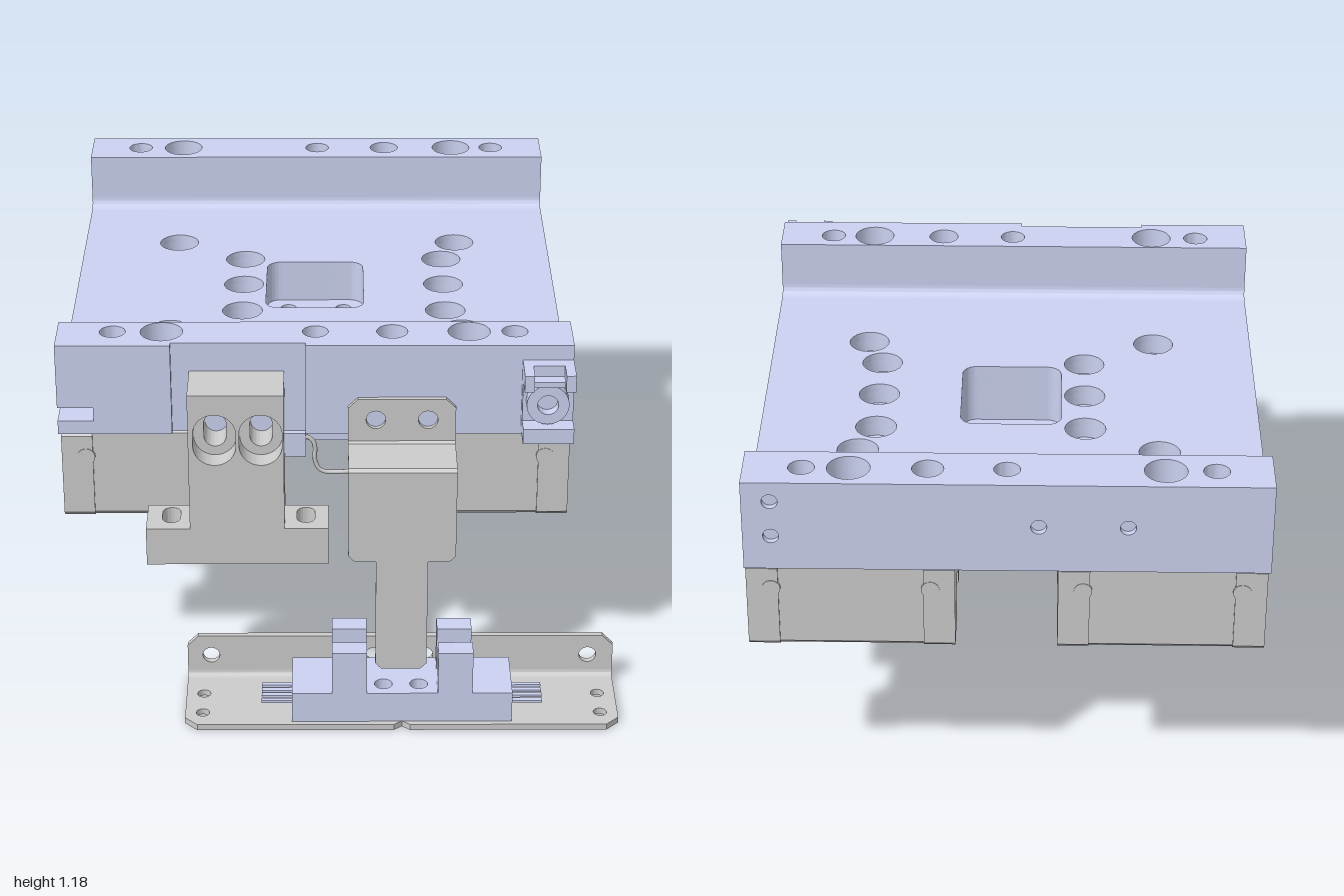
import * as THREE from 'three';
import { toCreasedNormals } from 'three/addons/utils/BufferGeometryUtils.js';

const grey = new THREE.MeshStandardMaterial({ color: 0xcccccc });
const blue = new THREE.MeshStandardMaterial({ color: 0xcbd1f0 });

const poly = (pts) => new THREE.Shape(pts.map(([x, y]) => new THREE.Vector2(x, y)));
const rect = (a, b, c, d) => poly([[a, b], [c, b], [c, d], [a, d]]);
const circle = (x, y, r) => new THREE.Path().absarc(x, y, r, 0, Math.PI * 2, true);

// Rectangle with rounded corners; a full radius makes a slot
function rounded(a, b, c, d, r) {
  const s = new THREE.Shape();
  s.absarc(c - r, b + r, r, -Math.PI / 2, 0);
  s.absarc(c - r, d - r, r, 0, Math.PI / 2);
  s.absarc(a + r, d - r, r, Math.PI / 2, Math.PI);
  s.absarc(a + r, b + r, r, Math.PI, Math.PI * 1.5);
  return s;
}

// Extrudes between lo and hi along an axis.
// Shape coordinates: axis x -> (z, y), axis y -> (x, z), axis z -> (x, y)
function extrude(shape, axis, lo, hi, holes = []) {
  shape.holes.push(...holes);
  const g = new THREE.ExtrudeGeometry(shape, { depth: hi - lo, bevelEnabled: false, curveSegments: 12 });
  if (axis === 'x') g.rotateY(-Math.PI / 2).translate(hi, 0, 0);
  if (axis === 'y') g.rotateX(Math.PI / 2).translate(0, hi, 0);
  if (axis === 'z') g.translate(0, 0, lo);
  return toCreasedNormals(g, 0.6);
}

function box(x0, x1, y0, y1, z0, z1) {
  return new THREE.BoxGeometry(x1 - x0, y1 - y0, z1 - z0)
    .translate((x0 + x1) / 2, (y0 + y1) / 2, (z0 + z1) / 2);
}

function part(name, mat, geos) {
  const group = new THREE.Group();
  group.name = name;
  geos.forEach((g) => {
    const m = new THREE.Mesh(g, mat);
    m.name = name;
    group.add(m);
  });
  return group;
}

const X0 = -0.86, X1 = 0.715, BOTTOM = 0.885, FLOOR = 1, TOP = 1.185;
const boltX = [-0.54, 0.4];
const grid = (xs, zs, r) => xs.flatMap((x) => zs.map((z) => circle(x, z, r)));
const through = (r) => grid([-0.31, 0.35], [-0.36, -0.155, 0.05], r);
const pocket = () => rounded(-0.235, -0.335, 0.085, 0.03, 0.045);

// Channel-shaped carriage plate with the boss below it
function plate() {
  const front = [[X1, 0.7], [-0.1, 0.7], [-0.1, 0.68], [-0.51, 0.68], [-0.51, 0.7]];
  const outline = (z, notch) => poly([[X0, z], [X1, z], ...front,
    ...(notch ? [[-0.75, 0.7], [-0.75, 0.6], [X0, 0.6]] : [[X0, 0.7]])]);
  const floorHoles = (r1, r2) => [...grid(boltX, [-0.5, 0.19], r1), ...grid(boltX, [-0.91, 0.6], 0.03),
    ...through(r2), pocket()];
  const wallHoles = (z) => [...grid(boltX, [z], 0.065), ...grid([-0.69, -0.07, 0.54], [z], 0.04), circle(0.165, z, 0.048)];
  const fillet = (z, dir) => {
    const s = new THREE.Shape();
    s.moveTo(z, FLOOR);
    s.lineTo(z + dir * 0.035, FLOOR);
    s.quadraticCurveTo(z, FLOOR, z, FLOOR + 0.035);
    return extrude(s, 'x', X0, X1);
  };
  const sideHoles = () => [[0.055, 0.745], [-0.15, 0.745], [-0.355, 0.745], [0.055, 0.62]]
    .map(([z, y]) => circle(z, y, 0.028));
  const backHoles = [[0.63, 1.12], [0.63, 1.0], [-0.165, 1.04], [-0.43, 1.04]].map(([x, y]) => circle(x, y, 0.024));
  return part('carriagePlate', blue, [
    extrude(outline(-0.98), 'y', BOTTOM, 0.93, floorHoles(0.03, 0.035)),
    extrude(outline(-0.98, true), 'y', 0.93, 0.975, floorHoles(0.065, 0.065)),
    extrude(outline(-0.98), 'y', 0.975, FLOOR, floorHoles(0.065, 0.065)),
    extrude(rect(X0, -0.98, X1, -0.82), 'y', FLOOR, TOP, wallHoles(-0.91)),
    extrude(poly([[X0, 0.53], [X1, 0.53], ...front, [X0, 0.7]]), 'y', FLOOR, TOP, wallHoles(0.6)),
    extrude(rect(X0, BOTTOM, X1, TOP), 'z', -1, -0.98, backHoles),
    fillet(0.53, -1), fillet(-0.82, 1),
    // boss: drilled core, pocket step and drilled end faces
    extrude(rect(-0.8, -0.43, 0.655, 0.13), 'y', 0.565, 0.8, through(0.035)),
    extrude(rect(-0.8, -0.43, 0.655, 0.13), 'y', 0.8, BOTTOM, [...through(0.035), pocket()]),
    extrude(rect(-0.235, -0.335, 0.085, -0.16), 'y', 0.8, 0.86, grid([-0.165, 0.02], [-0.27], 0.026)),
    extrude(rect(-0.43, 0.565, 0.13, BOTTOM), 'x', X0, -0.8, sideHoles()),
    extrude(rect(-0.43, 0.565, 0.13, BOTTOM), 'x', 0.655, X1, sideHoles()),
  ]);
}

// Linear bearing block with a rail slot, end caps and end screws
function bearing(xc, zc) {
  const slot = [[0.09, 0.58], [0.09, 0.62], [0.115, 0.645], [0.115, 0.685], [0.085, 0.705]];
  const profile = (w, top) => {
    const half = [...slot].reverse().concat([[w - 0.015, 0.58], [w, 0.595], [w, top - 0.015], [w - 0.015, top]]);
    return poly([...half.map(([z, y]) => [zc + z, y]), ...half.reverse().map(([z, y]) => [zc - z, y])]);
  };
  const geos = [extrude(profile(0.259, BOTTOM), 'x', xc - 0.22, xc + 0.22)];
  for (const s of [-1, 1]) {
    const mid = xc + s * 0.267;
    geos.push(extrude(profile(0.265, 0.875), 'x', mid - 0.048, mid + 0.048));
    const dot = new THREE.CylinderGeometry(0.028, 0.028, 0.534, 20).rotateX(Math.PI / 2);
    geos.push(dot.translate(xc + s * 0.24, 0.79, zc));
  }
  // outer end screw with a socket
  const s = Math.sign(xc);
  const pts = [[0, 0.004], [0.02, 0.004], [0.02, 0.02], [0.036, 0.02], [0.05, 0.008], [0.05, -0.005]]
    .reverse().map(([r, y]) => new THREE.Vector2(r, y));
  geos.push(toCreasedNormals(new THREE.LatheGeometry(pts, 20), 0.5).rotateZ(-s * Math.PI / 2)
    .translate(xc + s * 0.315, 0.8, zc));
  return part('bearingBlock', grey, geos);
}

// Block with slotted counterbores and a wide foot
function stopBlock() {
  const slots = (w, h) => [-0.375, -0.235].map((x) => rounded(x - w, 0.94 - h, x + w, 0.94 + h, w));
  const foot = [-0.515, -0.1].map((x) => rounded(x - 0.028, 0.715, x + 0.028, 0.81, 0.028));
  return part('stopBlock', grey, [
    extrude(rect(-0.455, 0.635, -0.165, 1.09), 'z', 0.68, 0.78, slots(0.034, 0.055)),
    extrude(rect(-0.455, 0.635, -0.165, 1.09), 'z', 0.78, 0.85, slots(0.065, 0.085)),
    extrude(rect(-0.59, 0.7, -0.03, 0.85), 'y', 0.51, 0.635, foot),
  ]);
}

// Bent sheet flag that reaches down into the sensor
function flagBracket() {
  const tab = poly([[0.03, 0.88], [0.36, 0.88], [0.36, 0.98], [0.33, 1.01], [0.06, 1.01], [0.03, 0.98]]);
  const bend = poly([[0.7, 0.88], [0.7, 0.855], [0.71, 0.845], [0.87, 0.845], [0.875, 0.84], [0.875, 0.8],
    [0.89, 0.8], [0.89, 0.85], [0.88, 0.86], [0.722, 0.86], [0.715, 0.868], [0.715, 0.88]]);
  const flag = poly([[0.03, 0.8], [0.03, 0.56], [0.05, 0.54], [0.115, 0.54], [0.115, 0.175], [0.135, 0.155],
    [0.255, 0.155], [0.275, 0.175], [0.275, 0.54], [0.34, 0.54], [0.36, 0.56], [0.36, 0.8]]);
  return part('flagBracket', grey, [
    extrude(tab, 'z', 0.7, 0.715, [circle(0.115, 0.94, 0.03), circle(0.275, 0.94, 0.03)]),
    extrude(bend, 'x', 0.03, 0.36),
    extrude(flag, 'z', 0.875, 0.89),
  ]);
}

// Small clevis fitting on the front face
function fitting() {
  const ring = new THREE.Shape().absarc(0.635, 1.02, 0.065, 0, Math.PI * 2);
  return part('fitting', blue, [
    box(0.56, X1, 0.9, 1.135, 0.7, 0.74),
    box(0.56, 0.59, 1.08, 1.135, 0.74, 0.81), box(0.685, X1, 1.08, 1.135, 0.74, 0.81),
    box(0.56, X1, 1.08, 1.1, 0.74, 0.78),
    box(0.56, X1, 0.9, 0.95, 0.74, 0.8),
    extrude(ring, 'z', 0.74, 0.775, [circle(0.635, 1.02, 0.032)]),
  ]);
}

// L-shaped base bracket
function baseBracket() {
  const mid = 0.1975, x0 = -0.48, x1 = 0.875;
  const foot = poly([[x0, 0.73], [x1, 0.73], [x1, 0.96], [x1 - 0.04, 1], [mid + 0.025, 1], [mid, 0.98],
    [mid - 0.025, 1], [x0 + 0.04, 1], [x0, 0.96]]);
  const flange = poly([[x0, 0.04], [x1, 0.04], [x1, 0.13], [x1 - 0.035, 0.165], [mid + 0.025, 0.165],
    [mid, 0.14], [mid - 0.025, 0.165], [x0 + 0.035, 0.165], [x0, 0.13]]);
  const bend = new THREE.Shape();
  bend.moveTo(0.73, 0);
  bend.lineTo(0.73, 0.02);
  bend.quadraticCurveTo(0.71, 0.02, 0.71, 0.04);
  bend.lineTo(0.69, 0.04);
  bend.quadraticCurveTo(0.69, 0, 0.73, 0);
  return part('baseBracket', grey, [
    extrude(foot, 'y', 0, 0.02, [...grid([-0.425, 0.82], [0.82, 0.93], 0.021), ...grid([0.14, 0.25], [0.93], 0.025)]),
    extrude(flange, 'z', 0.69, 0.71, [-0.405, 0.115, 0.275, 0.795].map((x) => circle(x, 0.095, 0.027))),
    extrude(bend, 'x', x0, x1),
  ]);
}

// Slotted optical sensor with four posts and side pins
function sensor() {
  const geos = [extrude(rect(-0.145, 0.775, 0.54, 0.985), 'y', 0.022, 0.125, grid([0.14, 0.25], [0.93], 0.028))];
  for (const [a, b] of [[-0.02, 0.088], [0.308, 0.416]])
    for (const [c, d] of [[0.775, 0.84], [0.92, 0.985]]) geos.push(box(a, b, 0.125, 0.27, c, d));
  const pins = [];
  for (const z of [0.855, 0.885, 0.915, 0.945])
    for (const x of [-0.24, 0.54]) pins.push(box(x, x + 0.095, 0.075, 0.083, z, z + 0.016));
  const g = part('opticalSensor', blue, geos);
  g.add(part('sensorPins', blue, pins));
  return g;
}

export function createModel() {
  const model = new THREE.Group();
  model.name = 'linearStage';
  model.add(plate(), stopBlock(), flagBracket(), fitting(), baseBracket(), sensor());
  for (const x of boltX) for (const z of [0.405, -0.7]) model.add(bearing(x, z));
  // thin lead running to the flag bracket and its holder
  const path = new THREE.CatmullRomCurve3([[-0.16, 0.875], [-0.1, 0.872], [-0.075, 0.85], [-0.07, 0.78], [-0.05, 0.752], [0.06, 0.75]]
    .map(([x, y]) => new THREE.Vector3(x, y, 0.69)));
  model.add(part('lead', grey, [new THREE.TubeGeometry(path, 30, 0.007, 8)]));
  model.add(part('leadHolder', blue, [box(-0.165, -0.1, 0.805, 0.885, 0.665, 0.7)]));
  return model;
}
